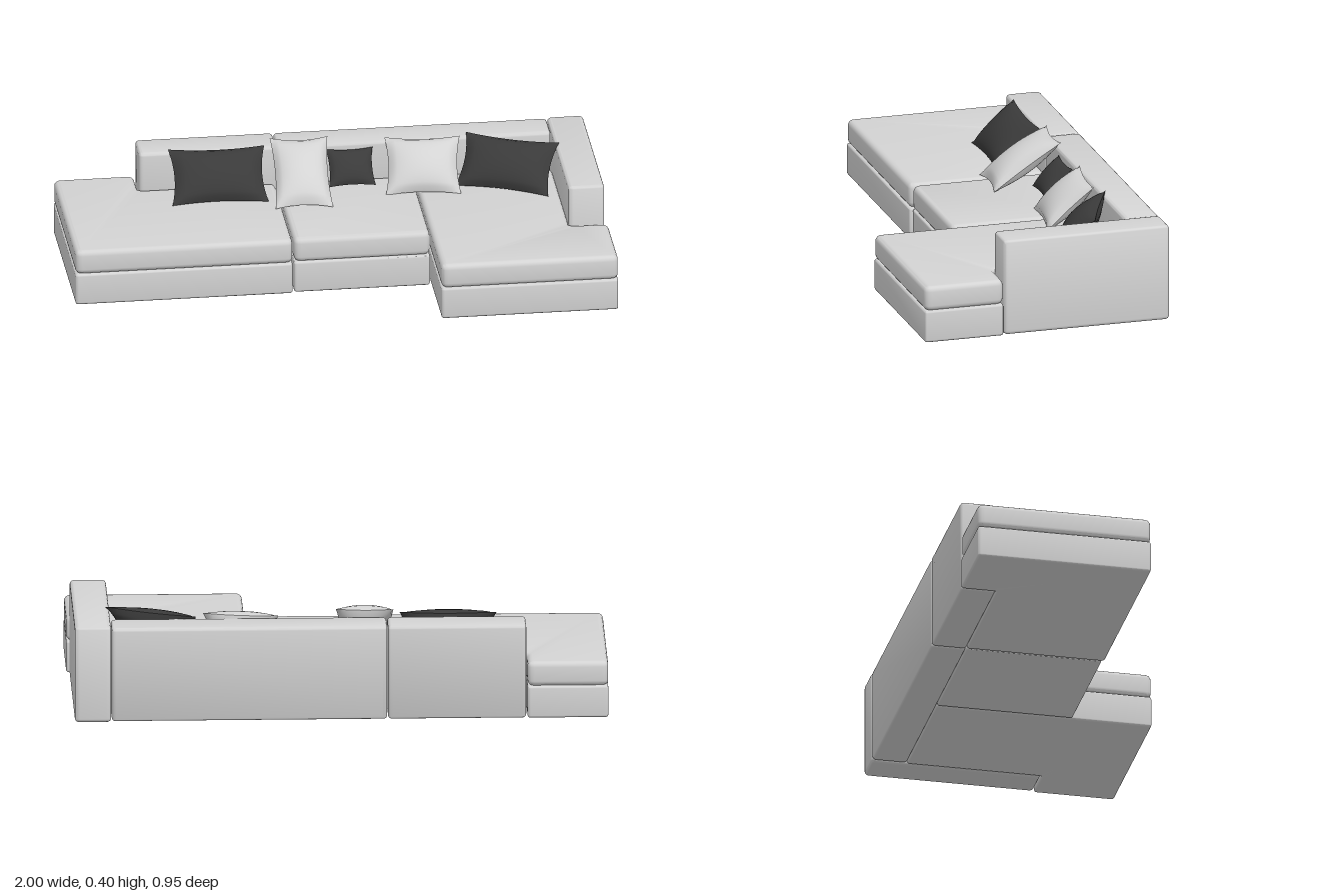
import * as THREE from 'three';
import { mergeGeometries, toCreasedNormals } from 'three/addons/utils/BufferGeometryUtils.js';

const fabric = new THREE.MeshStandardMaterial({ color: 0xd3d3d3 });
fabric.name = 'light grey fabric';
const charcoal = new THREE.MeshStandardMaterial({ color: 0x3a3a3a });
charcoal.name = 'charcoal fabric';

// Upholstered block: a plan outline of [x, z] corners, raised from y0 to y1 with soft edges
function block(name, outline, y0, y1, bevel) {
  const pts = outline.map(([x, z]) => new THREE.Vector2(x, -z));
  const shape = new THREE.Shape();
  const n = pts.length;
  const r = bevel * 1.3;
  pts.forEach((p, i) => {
    const before = pts[(i + n - 1) % n].clone().sub(p).setLength(r).add(p);
    const after = pts[(i + 1) % n].clone().sub(p).setLength(r).add(p);
    if (i === 0) shape.moveTo(before.x, before.y);
    else shape.lineTo(before.x, before.y);
    shape.quadraticCurveTo(p.x, p.y, after.x, after.y);
  });
  shape.closePath();
  const geo = new THREE.ExtrudeGeometry(shape, {
    depth: y1 - y0 - 2 * bevel, curveSegments: 4,
    bevelEnabled: true, bevelSize: bevel, bevelThickness: bevel, bevelOffset: -bevel, bevelSegments: 4,
  });
  geo.rotateX(-Math.PI / 2);
  geo.translate(0, y0 + bevel, 0);
  const mesh = new THREE.Mesh(toCreasedNormals(geo, 0.7), fabric);
  mesh.name = name;
  return mesh;
}

const rect = (x0, x1, z0, z1) => [[x0, z0], [x0, z1], [x1, z1], [x1, z0]];

// Pillow: two bulging faces that meet in a seam with pointed corners
function pillow(name, material, w, h, t, [x, y, z], lean, yaw, roll = 0) {
  const front = new THREE.PlaneGeometry(2, 2, 16, 16);
  const p = front.attributes.position;
  for (let i = 0; i < p.count; i++) {
    const u = p.getX(i), v = p.getY(i);
    const a = 1 - u * u, b = 1 - v * v;
    p.setXYZ(i, u * w / 2 * (1 - 0.09 * b), v * h / 2 * (1 - 0.09 * a), t / 2 * Math.pow(a * b, 0.55));
  }
  front.computeVertexNormals();
  const back = front.clone().rotateY(Math.PI);
  const mesh = new THREE.Mesh(mergeGeometries([front, back]), material);
  mesh.name = name;
  mesh.position.set(x, y, z);
  mesh.rotation.set(-lean, yaw, roll, 'YXZ');
  return mesh;
}

export function createModel() {
  const sofa = new THREE.Group();
  sofa.name = 'sectionalSofa';

  // Seat sections: each has a base with a cushion on top
  const sections = {
    openEnd: [[-1, -0.478], [-1, 0.18], [-0.187, 0.18], [-0.187, -0.345], [-0.7, -0.345], [-0.7, -0.478]],
    middle: rect(-0.181, 0.328, -0.345, 0.172),
    chaise: [[0.333, -0.345], [0.333, 0.475], [0.995, 0.475], [0.995, 0.17], [0.85, 0.17], [0.85, -0.345]],
  };
  for (const [key, outline] of Object.entries(sections)) {
    const section = new THREE.Group();
    section.name = key + 'Section';
    section.add(
      block(key + 'Base', outline, 0.003, 0.126, 0.009),
      block(key + 'Cushion', outline, 0.125, 0.219, 0.02),
    );
    sofa.add(section);
  }

  // Backrests and arm
  sofa.add(
    block('shortBackrest', rect(-0.695, -0.181, -0.478, -0.345), 0.003, 0.363, 0.013),
    block('longBackrest', rect(-0.178, 0.846, -0.478, -0.345), 0.003, 0.363, 0.013),
    block('armrest', rect(0.848, 0.983, -0.478, 0.165), 0, 0.367, 0.014),
  );

  // Scatter pillows leaning on the backrest
  sofa.add(
    pillow('wideDarkPillow', charcoal, 0.36, 0.225, 0.1, [-0.41, 0.298, -0.26], 0.8, -0.02),
    pillow('tallLightPillow', fabric, 0.215, 0.31, 0.1, [-0.103, 0.308, -0.225], 0.98, -0.04),
    pillow('smallDarkPillow', charcoal, 0.175, 0.15, 0.06, [0.09, 0.29, -0.29], 0.75, 0),
    pillow('squareLightPillow', fabric, 0.28, 0.235, 0.1, [0.355, 0.297, -0.255], 0.84, -0.12, 0.02),
    pillow('cornerDarkPillow', charcoal, 0.36, 0.215, 0.1, [0.667, 0.298, -0.225], 0.78, -0.4),
  );
  return sofa;
}
